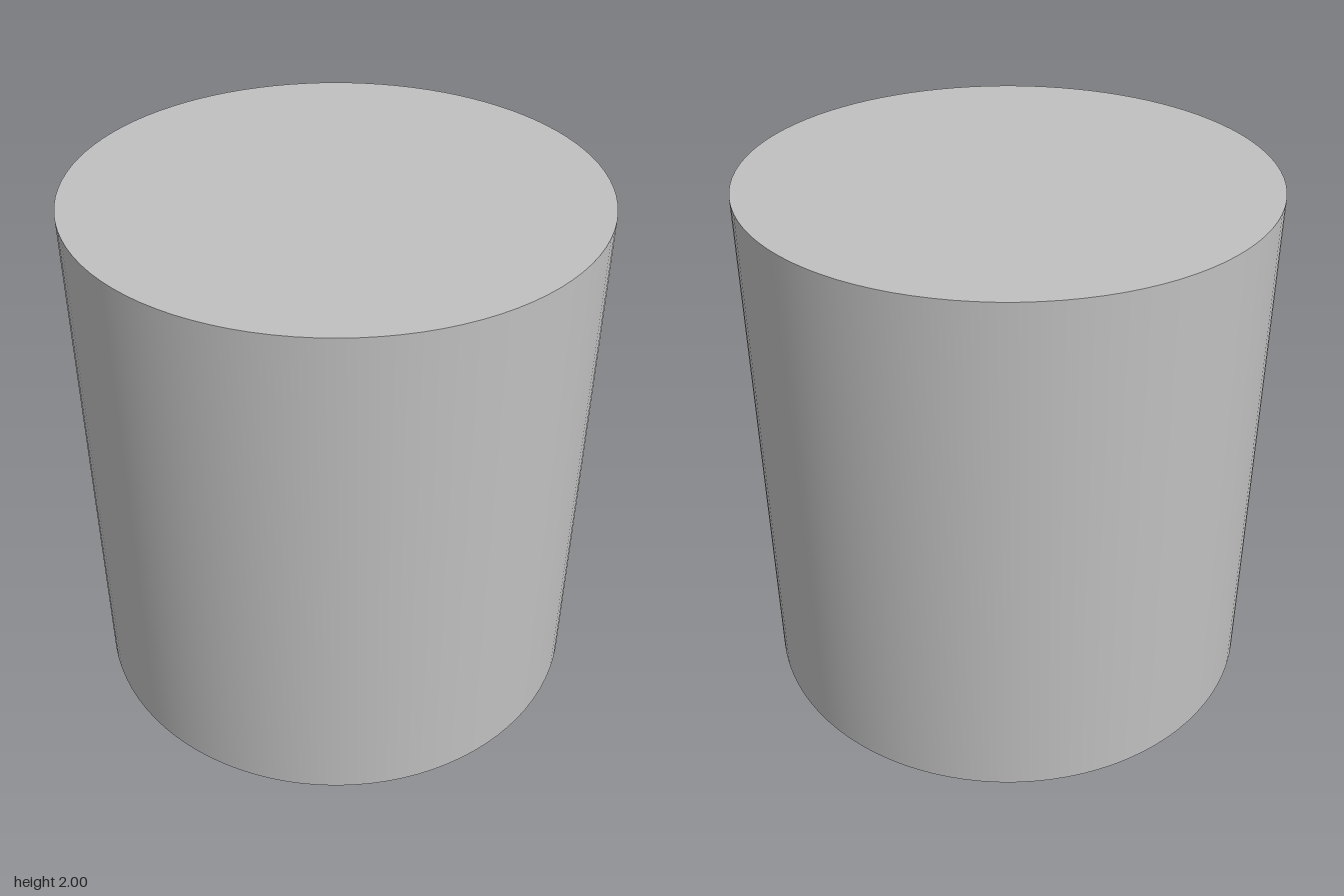
import * as THREE from 'three';
import { toCreasedNormals } from 'three/addons/utils/BufferGeometryUtils.js';

const SEG = 96;
const LEDGE_Y = 0.115, CEILING_Y = 1.7, PITCH = 0.24;
const CREST = 0.585, ROOT = 0.68;

// Thread radius through one pitch: sloping flank, flat crest, returning flank
const PROFILE = [[0, ROOT], [0.42, CREST], [0.7, CREST], [0.95, ROOT], [1, ROOT]];

function threadRadius(t) {
  const f = t - Math.floor(t);
  for (let i = 1; i < PROFILE.length; i++) {
    const [t0, r0] = PROFILE[i - 1], [t1, r1] = PROFILE[i];
    if (f <= t1) return r0 + (r1 - r0) * (f - t0) / (t1 - t0);
  }
  return ROOT;
}

// Right-handed helical wall, facing inwards
function threadGeometry() {
  const steps = [];
  for (let k = -2; k <= Math.ceil((CEILING_Y - LEDGE_Y) / PITCH); k++) {
    for (const [t] of PROFILE.slice(0, -1)) steps.push(k + t);
  }
  const point = (i, j) => {
    const turn = i / SEG, a = turn * Math.PI * 2;
    const y = THREE.MathUtils.clamp(LEDGE_Y + (steps[j] + turn) * PITCH, LEDGE_Y, CEILING_Y);
    // The first ring meets the round edge of the ledge
    const r = y === LEDGE_Y ? CREST : threadRadius((y - LEDGE_Y) / PITCH - turn + 1e-9);
    return new THREE.Vector3(Math.cos(a) * r, y, -Math.sin(a) * r);
  };
  const positions = [];
  const triangle = (a, b, c) => {
    if (new THREE.Triangle(a, b, c).getArea() < 1e-8) return;
    for (const p of [a, b, c]) positions.push(p.x, p.y, p.z);
  };
  for (let i = 0; i < SEG; i++) {
    for (let j = 0; j < steps.length - 1; j++) {
      const a = point(i, j), b = point(i + 1, j);
      const c = point(i + 1, j + 1), d = point(i, j + 1);
      triangle(a, c, b);
      triangle(a, d, c);
    }
  }
  const geometry = new THREE.BufferGeometry();
  geometry.setAttribute('position', new THREE.Float32BufferAttribute(positions, 3));
  return toCreasedNormals(geometry, 0.4);
}

export function createModel() {
  const group = new THREE.Group();
  group.name = 'threadedCap';
  const grey = new THREE.MeshStandardMaterial({ color: 0xc0c0c0 });
  grey.name = 'plain grey';

  const add = (name, geometry) => {
    const mesh = new THREE.Mesh(geometry, grey);
    mesh.name = name;
    group.add(mesh);
    return mesh;
  };

  // Outer shell with flat top, bottom rim, chamfered mouth and ledge
  const outline = [[CREST, LEDGE_Y], [0.64, LEDGE_Y], [0.69, 0], [0.96, 0], [0.96, 2], [0, 2]]
    .map(([r, y]) => new THREE.Vector2(r, y));
  add('capBody', toCreasedNormals(new THREE.LatheGeometry(outline, SEG), 0.4));

  // Threaded bore
  add('innerThread', threadGeometry());

  // Closed end of the bore
  add('boreCeiling', new THREE.CircleGeometry(ROOT + 0.01, SEG).rotateX(Math.PI / 2))
    .position.y = CEILING_Y;

  return group;
}
